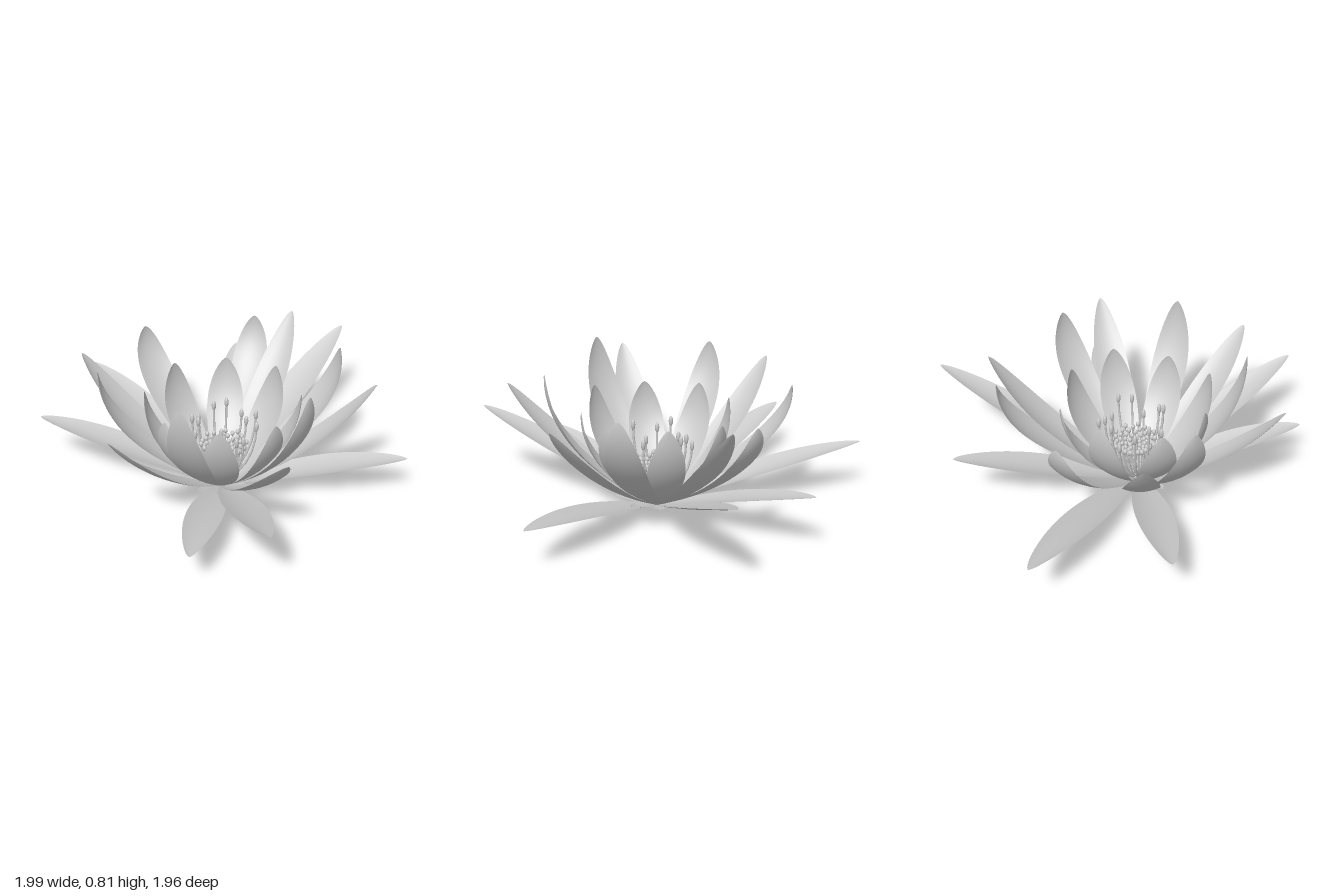
import * as THREE from 'three';

const petalMat = new THREE.MeshStandardMaterial({ color: 0xcccccc, side: THREE.DoubleSide });
const stamenMat = new THREE.MeshStandardMaterial({ color: 0xcccccc });

// Cupped petal from the flower's base to a tip; (cr, cy) bends its centre line.
function makePetal(name, [x, y, z], cr, cy, width, cup) {
  const r = Math.hypot(x, z), dx = x / r, dz = z / r;
  const curve = new THREE.QuadraticBezierCurve(
    new THREE.Vector2(0.012, 0.01), new THREE.Vector2(cr, cy), new THREE.Vector2(r, y));
  const across = 8, along = 24;
  const geo = new THREE.PlaneGeometry(1, 1, across, along);
  const pos = geo.attributes.position;
  for (let j = 0; j <= along; j++) {
    const t = 1 - Math.pow(1 - j / along, 1.4); // rows crowd towards the rounded tip
    const p = curve.getPoint(t), tan = curve.getTangent(t);
    const swell = Math.pow(Math.max(Math.sin(Math.PI * Math.pow(t, 1.1)), 0), 0.65);
    const half = width / 2 * Math.max(swell, 0.15 * (1 - t));
    for (let i = 0; i <= across; i++) {
      const u = i / across * 2 - 1;
      const lift = cup * half * u * u;
      const pr = p.x - tan.y * lift, side = u * half;
      pos.setXYZ(j * (across + 1) + i, dx * pr - dz * side, p.y + tan.x * lift, dz * pr + dx * side);
    }
  }
  geo.computeVertexNormals();
  const mesh = new THREE.Mesh(geo, petalMat);
  mesh.name = name;
  return mesh;
}

// Thin filament with a rounded anther at its end.
function makeStamen(from, to, radius, ball, stretch) {
  const g = new THREE.Group();
  const mid = new THREE.Vector3(to.x, (from.y + to.y) / 2 - 0.04, to.z);
  const curve = new THREE.QuadraticBezierCurve3(from, mid, to);
  const filament = new THREE.Mesh(new THREE.TubeGeometry(curve, 5, radius, 6), stamenMat);
  filament.name = 'filament';
  const anther = new THREE.Mesh(new THREE.SphereGeometry(ball, 8, 6), stamenMat);
  anther.name = 'anther';
  anther.scale.y = stretch;
  anther.position.copy(to);
  g.add(filament, anther);
  g.name = 'stamen';
  return g;
}

export function createModel() {
  const flower = new THREE.Group();
  flower.name = 'waterLily';

  // Long, low outer petals; the lowest ones bow upwards a little
  const outer = [[0.01, 0.35, -0.98], [0.63, 0.52, -0.94], [-0.83, 0.3, -0.76], [-1, 0.32, -0.11],
    [0.99, 0.25, 0.02], [-0.07, 0.24, 0.91], [0.31, 0.44, 0.98]];
  for (const tip of outer) {
    const r = Math.hypot(tip[0], tip[2]);
    flower.add(makePetal('outerPetal', tip, r * 0.5, tip[1] * 0.26 + 0.11, 0.19, 0.2));
  }

  // Pointed petals rising at an angle
  const rising = [[-0.48, 0.67, 0.63], [0.37, 0.65, 0.72], [0.8, 0.69, 0.01], [-0.76, 0.69, -0.18],
    [0.34, 0.72, -0.71]];
  for (const tip of rising) flower.add(makePetal('risingPetal', tip, 0.55, 0.28, 0.19, 0.2));

  // Petals that curl up to the vertical
  const curled = [[0.13, 0.68, -0.71], [-0.47, 0.68, -0.53], [0.61, 0.75, -0.25], [-0.62, 0.75, 0.11],
    [-0.15, 0.81, 0.54], [0.46, 0.81, 0.36]];
  for (const tip of curled) {
    const r = Math.hypot(tip[0], tip[2]);
    flower.add(makePetal('curledPetal', tip, r * 1.05, 0.39, 0.2, 0.18));
  }

  // Inner ring of short upright petals
  for (let i = 0; i < 8; i++) {
    const a = i * Math.PI / 4 + 0.04, r = i % 2 ? 0.39 : 0.41;
    const tip = [0.01 + Math.sin(a) * r, 0.59 + 0.02 * Math.cos(3 * a), Math.cos(a) * r];
    flower.add(makePetal('innerPetal', tip, 0.43, 0.275, 0.2, 0.15));
  }

  // Small sepals under the flower
  for (let i = 0; i < 9; i++) {
    const a = i / 9 * Math.PI * 2 + 0.2;
    flower.add(makePetal('sepal', [Math.sin(a) * 0.23, 0.085, Math.cos(a) * 0.23], 0.11, 0.035, 0.085, 0.2));
  }

  // Pointed base where the petals meet
  const base = new THREE.Mesh(new THREE.LatheGeometry(
    [[0, 0], [0.03, 0.018], [0.045, 0.05], [0, 0.08]].map(p => new THREE.Vector2(...p)), 16), stamenMat);
  base.name = 'base';
  flower.add(base);

  // Dense central stamens in a spiral, taller towards the rim
  const stamens = new THREE.Group();
  stamens.name = 'stamens';
  const count = 80;
  for (let i = 0; i < count; i++) {
    const a = i * 2.39996, k = Math.sqrt((i + 0.5) / count);
    const s = Math.sin(a), c = Math.cos(a);
    stamens.add(makeStamen(new THREE.Vector3(s * 0.04 * k, 0.05, c * 0.04 * k),
      new THREE.Vector3(0.015 + s * 0.125 * k, 0.2 + 0.08 * k * k, -0.015 + c * 0.125 * k), 0.003, 0.012, 1.3));
  }
  // Tall outer stamens
  for (let i = 0; i < 14; i++) {
    const a = i / 14 * Math.PI * 2, r = 0.165 + 0.025 * Math.sin(i * 2.3);
    const s = Math.sin(a), c = Math.cos(a);
    stamens.add(makeStamen(new THREE.Vector3(s * 0.04, 0.05, c * 0.04),
      new THREE.Vector3(0.015 + s * r, 0.39 + 0.05 * Math.cos(i * 1.7), -0.015 + c * r), 0.006, 0.012, 2.5));
  }
  flower.add(stamens);
  return flower;
}
